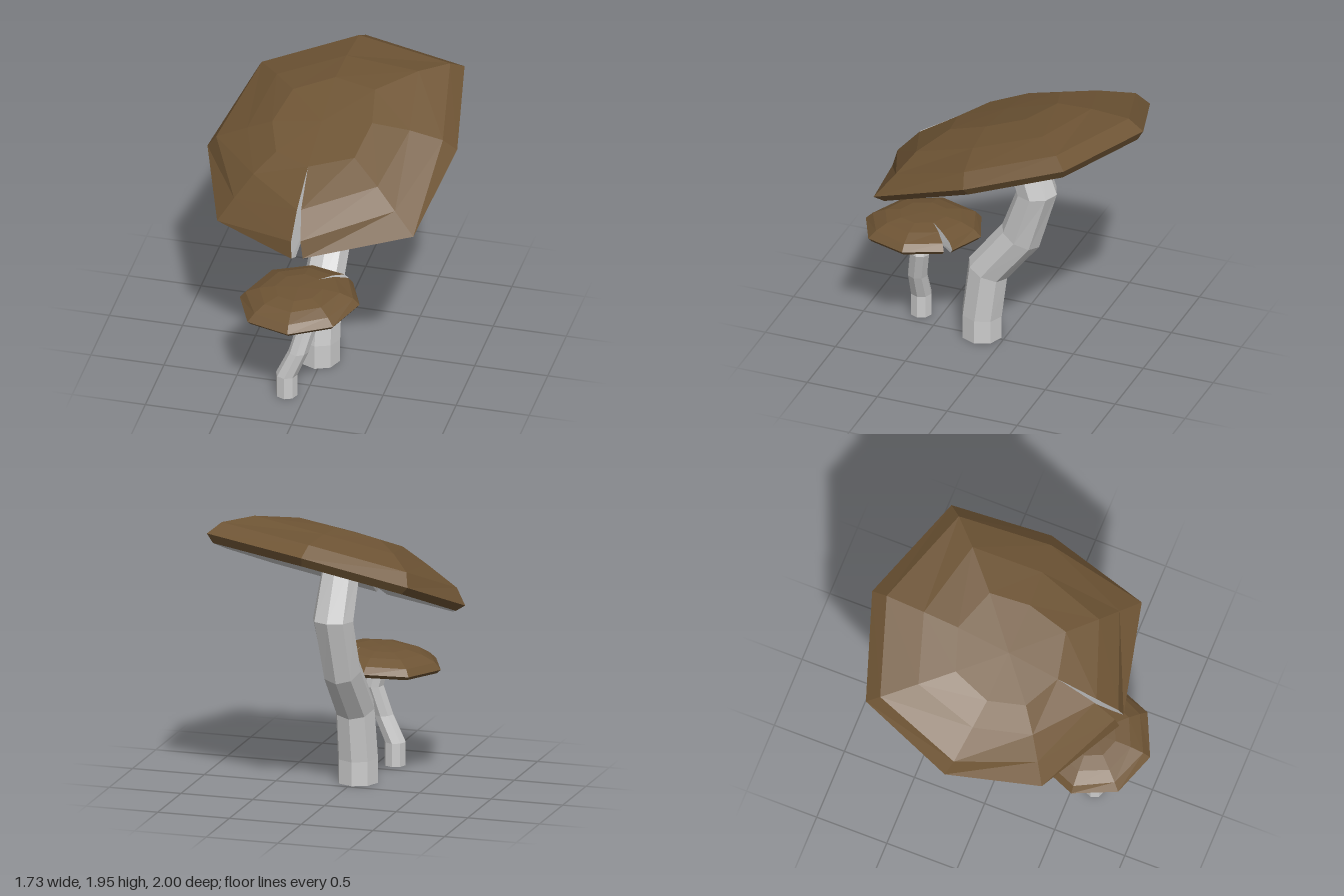
import * as THREE from 'three';

const grey = new THREE.MeshStandardMaterial({ color: 0xcccccc, flatShading: true, side: THREE.DoubleSide });
const brown = new THREE.MeshStandardMaterial({ color: 0x6f5535, flatShading: true });

// Flat-shaded mesh from a list of triangles (slivers dropped)
function facetMesh(name, tris, material) {
  const kept = tris.filter(([a, b, c]) => new THREE.Triangle(a, b, c).getArea() > 1e-7);
  const geometry = new THREE.BufferGeometry().setFromPoints(kept.flat());
  geometry.computeVertexNormals();
  const mesh = new THREE.Mesh(geometry, material);
  mesh.name = name;
  return mesh;
}

// Triangles joining successive rings of equal point count
function loft(rings, closed) {
  const tris = [];
  for (let r = 0; r + 1 < rings.length; r++) {
    const a = rings[r], b = rings[r + 1], n = a.length;
    for (let i = 0; i < (closed ? n : n - 1); i++) {
      const j = (i + 1) % n;
      tris.push([a[i], a[j], b[j]], [a[i], b[j], b[i]]);
    }
  }
  return tris;
}

// Bent eight-sided stem; each section is [x, y, z, radius, slope of the ring along z]
function stem(name, sections) {
  const ring = ([x, y, z, r, slope], k = 1) => Array.from({ length: 8 }, (_, i) => {
    const t = (i / 8) * Math.PI * 2;
    const dz = -Math.sin(t) * r * k;
    return new THREE.Vector3(x + Math.cos(t) * r * k, y + slope * dz, z + dz);
  });
  const first = sections[0], last = sections[sections.length - 1];
  return facetMesh(name, loft([ring(first, 0), ...sections.map((s) => ring(s)), ring(last, 0)], true), grey);
}

// Tilted cap with a split between the first and last rim points.
// rim: [x, z, inset of shoulder ring, inset of crown ring]
function cap(name, { center, slopeX, slopeZ, heights, rim }) {
  const normal = new THREE.Vector3(-slopeX, 1, -slopeZ).normalize();
  const end = rim.length - 1;
  const at = (x, z, s, h) => {
    const dx = (x - center.x) * s, dz = (z - center.z) * s;
    return new THREE.Vector3(dx, slopeX * dx + slopeZ * dz, dz).add(center).addScaledVector(normal, h);
  };
  // gap: how far the split is open at this ring
  const ring = (inset, h, gap) => rim.map((p, i) => {
    let [x, z] = p;
    if (i === 0 || i === end) {
      x = THREE.MathUtils.lerp((rim[0][0] + rim[end][0]) / 2, x, gap);
      z = THREE.MathUtils.lerp((rim[0][1] + rim[end][1]) / 2, z, gap);
    }
    return at(x, z, inset(p), h);
  });
  const [lip, shoulder, crown, top, apex, hollow] = heights;
  const under = [
    ring(() => 0, hollow, 0),
    ring(() => 0.25, hollow * 0.8, 0),
    ring(() => 0.6, 0, 0),
    ring(() => 0.94, lip, 1),
  ];
  const upper = [
    under[3],
    ring(() => 1, 0, 1),
    ring((p) => p[2], shoulder, 0.9),
    ring((p) => p[3], crown, 0.5),
    ring(() => 0.4, top, 0),
    ring(() => 0, apex, 0),
  ];
  // Cut faces on both sides of the split
  const walls = [0, end].flatMap((i) => {
    const outline = [under[2], ...upper.slice(0, 5)].map((r) => r[i]);
    return outline.slice(1, -1).map((p, k) => [outline[0], p, outline[k + 2]]);
  });
  const group = new THREE.Group();
  group.name = name;
  group.add(
    facetMesh(name + 'Top', loft(upper, false), brown),
    facetMesh(name + 'Underside', loft(under, false), grey),
    facetMesh(name + 'Split', walls, grey),
  );
  return group;
}

export function createModel() {
  const model = new THREE.Group();
  model.name = 'mushrooms';

  // Large mushroom
  model.add(stem('largeStem', [
    [-0.02, 0, 0.16, 0.14, 0],
    [-0.02, 0.17, 0.16, 0.14, 0.05],
    [-0.015, 0.52, 0.115, 0.135, 0.385],
    [0, 0.835, -0.125, 0.13, 0.5],
    [0.02, 1.21, -0.25, 0.14, -0.03],
    [0, 1.56, -0.125, 0.13, -0.3],
  ]));
  model.add(cap('largeCap', {
    center: new THREE.Vector3(0, 1.5, -0.1),
    slopeX: 0.185,
    slopeZ: -0.365,
    heights: [-0.05, 0.1, 0.2, 0.27, 0.28, 0.07],
    rim: [
      [0.022, 0.785, 0.93, 0.73],
      [0.74, 0.63, 0.82, 0.65],
      [0.865, -0.06, 0.915, 0.68],
      [0.745, -0.73, 0.92, 0.71],
      [0, -1, 0.915, 0.65],
      [-0.67, -0.78, 0.92, 0.66],
      [-0.865, -0.14, 0.9, 0.62],
      [-0.645, 0.465, 0.82, 0.62],
      [-0.055, 0.785, 0.93, 0.73],
    ],
  }));

  // Small mushroom
  model.add(stem('smallStem', [
    [-0.125, 0, 0.637, 0.073, 0],
    [-0.125, 0.16, 0.637, 0.073, 0],
    [-0.045, 0.345, 0.632, 0.068, 0.05],
    [0.01, 0.55, 0.595, 0.068, 0.08],
    [-0.04, 0.73, 0.597, 0.066, 0],
  ]));
  model.add(cap('smallCap', {
    center: new THREE.Vector3(-0.045, 0.715, 0.59),
    slopeX: 0.068,
    slopeZ: -0.03,
    heights: [-0.026, 0.045, 0.085, 0.105, 0.11, 0.015],
    rim: [
      [0.21, 0.28, 0.92, 0.68],
      [-0.05, 0.18, 0.88, 0.66],
      [-0.33, 0.29, 0.9, 0.66],
      [-0.455, 0.6, 0.9, 0.66],
      [-0.33, 0.885, 0.86, 0.66],
      [-0.03, 0.995, 0.88, 0.66],
      [0.25, 0.865, 0.86, 0.66],
      [0.36, 0.58, 0.9, 0.68],
      [0.25, 0.325, 0.92, 0.68],
    ],
  }));
  return model;
}
